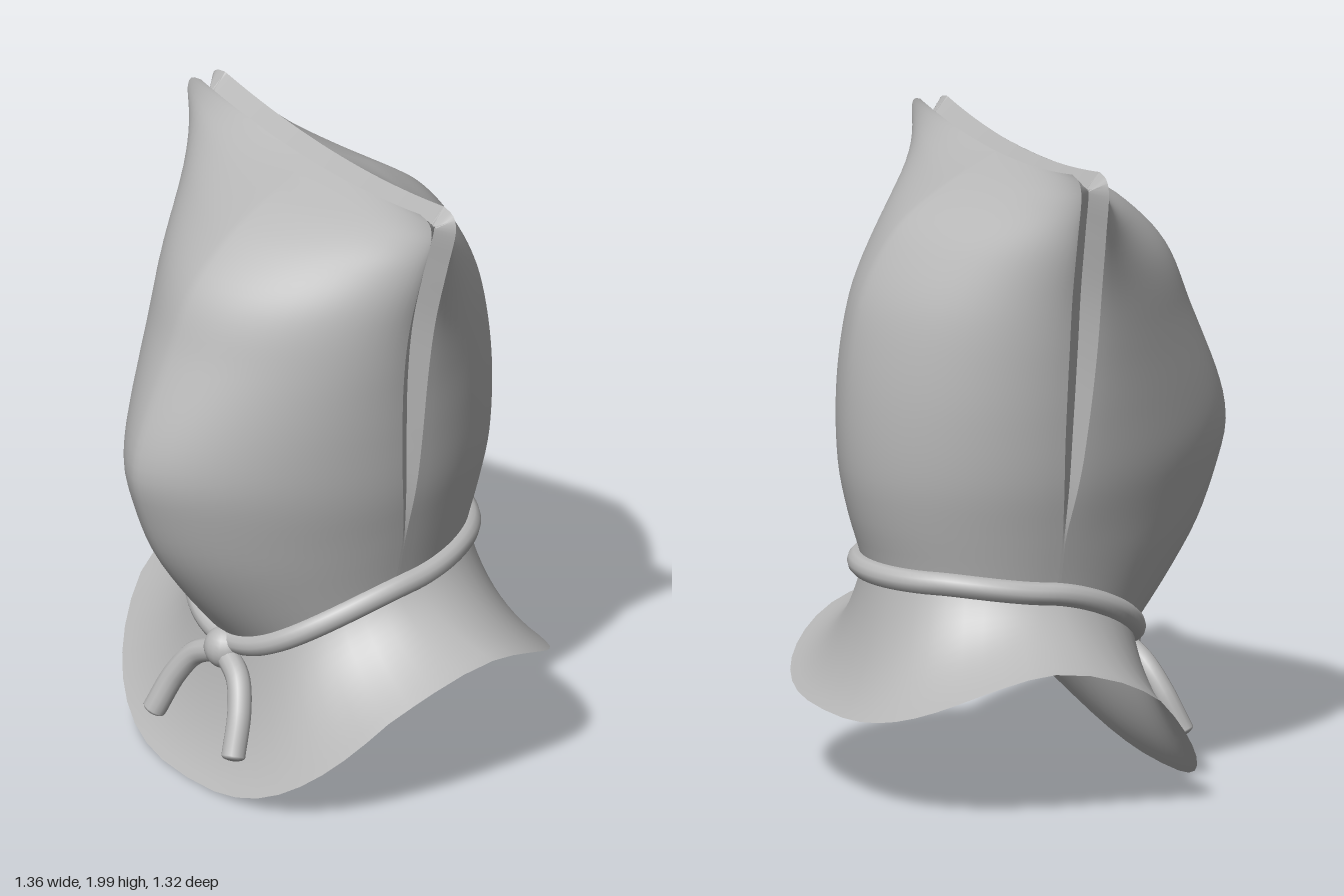
import * as THREE from 'three';
import { mergeVertices } from 'three/addons/utils/BufferGeometryUtils.js';

const cloth = new THREE.MeshStandardMaterial({ color: 0xb8b8b8, side: THREE.DoubleSide });
cloth.name = 'grey cloth';

// Smooth interpolation through a short list of [key, value] pairs, keys ascending
function curve(points) {
  const slope = points.map((p, i) => {
    const a = points[Math.max(i - 1, 0)], b = points[Math.min(i + 1, points.length - 1)];
    return (b[1] - a[1]) / (b[0] - a[0]);
  });
  return (k) => {
    const last = points.length - 1;
    if (k <= points[0][0]) return points[0][1];
    if (k >= points[last][0]) return points[last][1];
    let i = 0;
    while (k > points[i + 1][0]) i++;
    const [x0, y0] = points[i], [x1, y1] = points[i + 1];
    const d = x1 - x0, t = (k - x0) / d, s = 1 - t;
    return y0 * (1 + 2 * t) * s * s + y1 * t * t * (3 - 2 * t) + d * t * s * (slope[i] * s - slope[i + 1] * t);
  };
}

// Surface from a function of (u, v), both 0..1
function sheet(fn, nu, nv) {
  const pos = [], index = [];
  for (let j = 0; j <= nv; j++) for (let i = 0; i <= nu; i++) pos.push(...fn(i / nu, j / nv));
  for (let j = 0; j < nv; j++) for (let i = 0; i < nu; i++) {
    const a = j * (nu + 1) + i, b = a + 1, c = a + nu + 1, d = c + 1;
    index.push(a, c, b, b, c, d);
  }
  let g = new THREE.BufferGeometry();
  g.setAttribute('position', new THREE.Float32BufferAttribute(pos, 3));
  g.setIndex(index);
  g = mergeVertices(g, 1e-5);
  g.computeVertexNormals();
  return g;
}

// Signed power, for superellipse cross-sections
const spow = (v, p) => Math.sign(v) * Math.pow(Math.abs(v) < 1e-9 ? 0 : Math.abs(v), p);

// Hood profiles by height
const halfWidth = curve([[0.45, 0.34], [0.65, 0.375], [0.85, 0.42], [1, 0.453], [1.2, 0.48], [1.4, 0.505],
  [1.6, 0.538], [1.8, 0.592], [1.92, 0.627], [1.96, 0.625], [1.985, 0.605], [2, 0.565]]);
const front = {
  depth: curve([[0.43, 0.305], [0.6, 0.445], [0.77, 0.56], [0.95, 0.633], [1.07, 0.66], [1.2, 0.635],
    [1.45, 0.53], [1.65, 0.445], [1.8, 0.31], [1.9, 0.17], [1.95, 0.08], [2, 0]]),
  seam: curve([[0.83, -0.045], [1.1, -0.005], [1.5, 0.02], [2, 0]]),
  power: curve([[0.45, 1.9], [1.05, 1.6], [1.5, 1.6], [1.8, 1.35], [2, 1.1]]),
};
const back = {
  depth: curve([[0.6, -0.48], [0.72, -0.51], [0.85, -0.55], [1, -0.58], [1.2, -0.587], [1.4, -0.57],
    [1.55, -0.535], [1.7, -0.46], [1.8, -0.38], [1.9, -0.25], [1.95, -0.17], [2, -0.09]]),
  seam: curve([[0.83, -0.055], [1.1, -0.07], [1.5, -0.075], [2, -0.09]]),
  power: curve([[0.7, 2], [1.2, 1.85], [1.5, 1.65], [1.8, 1.35], [2, 1.1]]),
};

// Height of the tied neck line round the hood
function neckY(angle) {
  const s = Math.sin(angle);
  return s > 0 ? 0.65 - 0.22 * Math.pow(s, 1.4) : 0.65 + 0.04 * Math.min(1, -1.5 * s);
}

function hoodPoint(half, angle, t) {
  const n0 = neckY(angle);
  const h = n0 + (2 - n0) * (1 - Math.pow(1 - t, 1.5));
  const p = 2 / half.power(h), seam = half.seam(h);
  const x = halfWidth(h) * spow(Math.cos(angle), p);
  const z = seam + (half.depth(h) - seam) * Math.pow(Math.abs(Math.sin(angle)) < 1e-9 ? 0 : Math.abs(Math.sin(angle)), p);
  const sag = Math.pow(Math.max(0, (h - 1.5) / 0.5), 2);
  return [x, h - 0.05 * sag * (1 - (x / 0.6) ** 2), z];
}

// Seam edge: up one side, across the top, down the other
function seamEdge(half, dir) {
  const pts = [], rows = 48, cols = 40;
  for (let i = 0; i < rows; i++) pts.push(hoodPoint(half, 0, i / rows));
  for (let i = 0; i <= cols; i++) pts.push(hoodPoint(half, (dir * Math.PI * i) / cols, 1));
  for (let i = rows - 1; i >= 0; i--) pts.push(hoodPoint(half, Math.PI * dir, i / rows));
  return pts;
}

const grooveDepth = curve([[0.83, 0], [1.1, 0.025], [1.5, 0.045], [2, 0.05]]);

// Bottom of the groove, set in from the seam edges
function grooveLine(a, b) {
  return a.map((p, i) => {
    const q = a[Math.max(i - 1, 0)], r = a[Math.min(i + 1, a.length - 1)];
    const tx = r[0] - q[0], ty = r[1] - q[1], l = Math.hypot(tx, ty) || 1, d = grooveDepth(p[1]);
    return [p[0] - (ty / l) * d, p[1] + (tx / l) * d, (p[2] + b[i][2]) / 2];
  });
}

function ribbon(a, b) {
  const n = a.length - 1;
  return sheet((u, v) => (v < 0.5 ? a : b)[Math.round(u * n)], n, 1);
}

// Neck ring; angle 0 is the left side, a quarter turn is the front
const neckPoint = (angle) => hoodPoint(Math.sin(angle) >= 0 ? front : back, angle, 0);

const hemY = curve([[-0.66, 0.27], [-0.4, 0.42], [-0.2, 0.475], [0, 0.44], [0.16, 0.36], [0.25, 0.27],
  [0.35, 0.15], [0.46, 0]]);

// Flared collar, curving from hem to neck
function collarPoint(u, v) {
  const angle = -Math.PI / 2 + u * Math.PI * 2;
  const n = neckPoint(angle), c = Math.cos(angle), s = Math.sin(angle);
  const x = 0.68 * spow(c, 0.8), z = -0.08 + (s > 0 ? 0.54 : 0.58) * spow(s, 0.8);
  const hem = [x, hemY(z), z], w = 1 - v;
  return hem.map((e, k) => {
    const mid = n[k] + (k === 1 ? 0.7 : 0.25) * (e - n[k]);
    return w * w * e + 2 * w * v * mid + v * v * n[k];
  });
}

export function createModel() {
  const model = new THREE.Group();
  model.name = 'tiedHood';
  const add = (name, geometry) => {
    const m = new THREE.Mesh(geometry, cloth);
    m.name = name;
    model.add(m);
    return m;
  };

  // Hood halves and the grooved seam between them
  add('hoodFront', sheet((u, v) => hoodPoint(front, u * Math.PI, v), 40, 48));
  add('hoodBack', sheet((u, v) => hoodPoint(back, Math.PI * (1 + u), v), 40, 48));
  const edgeA = seamEdge(front, 1), edgeB = seamEdge(back, -1), groove = grooveLine(edgeA, edgeB);
  add('seamFrontLip', ribbon(edgeA, groove));
  add('seamBackLip', ribbon(groove, edgeB));

  add('collar', sheet(collarPoint, 48, 12));

  // Cord round the neck
  const ring = [];
  for (let i = 0; i < 32; i++) {
    const [x, y, z] = neckPoint(-Math.PI / 2 + (i / 32) * Math.PI * 2);
    ring.push(new THREE.Vector3(x * 1.02, y, z * 1.02));
  }
  add('neckCord', new THREE.TubeGeometry(new THREE.CatmullRomCurve3(ring, true), 96, 0.036, 12, true));

  // Knot and its two loose ends
  add('knot', new THREE.SphereGeometry(0.068, 20, 14)).position.set(0, 0.4, 0.315);
  for (const s of [1, -1]) {
    const side = s > 0 ? 'left' : 'right';
    const path = new THREE.CatmullRomCurve3([[0.03, 0.385, 0.33], [0.11, 0.345, 0.35], [0.165, 0.265, 0.385],
      [0.203, 0.145, 0.435]].map(([x, y, z]) => new THREE.Vector3(s * x, y, z)));
    add(side + 'CordEnd', new THREE.TubeGeometry(path, 20, 0.037, 12));
    const tip = add(side + 'CordTip', new THREE.SphereGeometry(0.037, 12, 8));
    tip.scale.y = 0.4;
    tip.position.copy(path.getPoint(1));
    tip.quaternion.setFromUnitVectors(new THREE.Vector3(0, 1, 0), path.getTangent(1));
  }
  return model;
}
